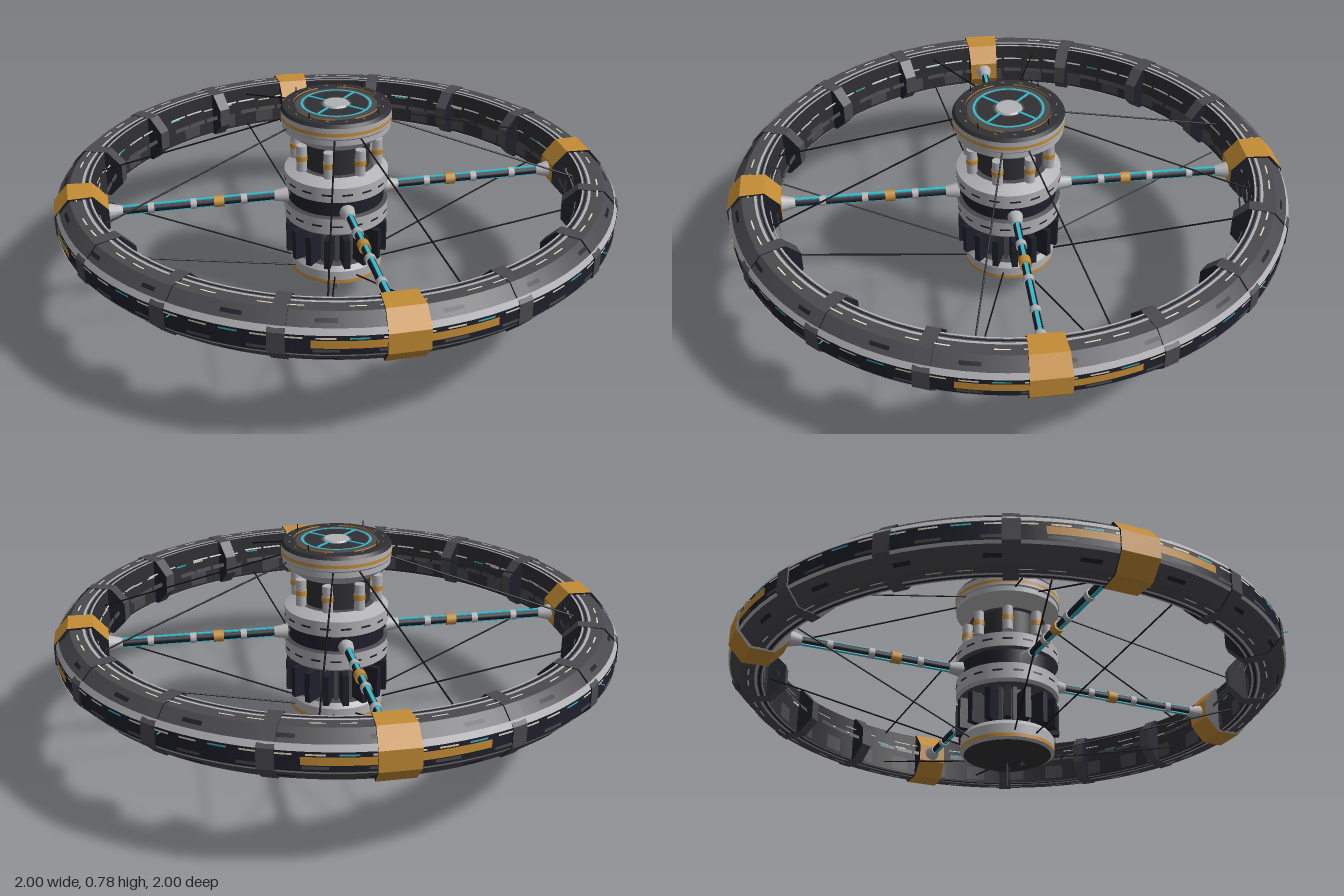
import * as THREE from 'three';

const mat = (name, color) => {
  const m = new THREE.MeshStandardMaterial({ color, side: THREE.DoubleSide });
  m.name = name;
  return m;
};
const HULL = mat('hull grey', 0x4a4a4e), DARK = mat('dark grey', 0x303034), NAVY = mat('navy', 0x1f1f2b),
  LIGHT = mat('light grey', 0xb2b2b6), GOLD = mat('ochre', 0xc48c35), CYAN = mat('cyan', 0x35b8c8),
  WINDOW = mat('window', 0xe6dcc4), CABLE = mat('black', 0x121214);

const TAU = Math.PI * 2, MID = 0.42;

function add(parent, name, geo, material, x = 0, y = 0, z = 0) {
  const m = new THREE.Mesh(geo, material);
  m.name = name;
  m.position.set(x, y, z);
  parent.add(m);
  return m;
}

// Conical band swept about the vertical axis, centred on angle a
function band(parent, name, material, r0, y0, r1, y1, a = 0, len = TAU) {
  const pts = [new THREE.Vector2(r0, y0), new THREE.Vector2(r1, y1)];
  const seg = Math.max(2, Math.round(len / TAU * 96));
  return add(parent, name, new THREE.LatheGeometry(pts, seg, a - len / 2, len), material);
}

// Stack of bands; each row is [radius, y, material of the band above it]
function stack(parent, name, rows) {
  for (let i = 0; i < rows.length - 1; i++) {
    const [r0, y0, m] = rows[i], [r1, y1] = rows[i + 1];
    band(parent, name, m, r0, y0, r1, y1);
  }
}

// Rod between two points
function rod(parent, name, material, a, b, r, sides = 6) {
  const d = b.clone().sub(a);
  const m = add(parent, name, new THREE.CylinderGeometry(r, r, d.length(), sides), material);
  m.position.copy(a).addScaledVector(d, 0.5);
  m.quaternion.setFromUnitVectors(new THREE.Vector3(0, 1, 0), d.normalize());
}

const polar = (r, a, y) => new THREE.Vector3(r * Math.sin(a), y, r * Math.cos(a));

// Eight-sided clamp around the ring, tapering towards the hub, with navy end faces
function clamp(parent, name, material, angle, width, inner, outer, half) {
  const c = 0.05, s = new THREE.Shape();
  [[inner, -0.035], [inner + c, -half], [outer - c, -half], [outer, -0.035],
    [outer, 0.035], [outer - c, half], [inner + c, half], [inner, 0.035]]
    .forEach(([x, y], i) => (i ? s.lineTo(x, y) : s.moveTo(x, y)));
  const geo = new THREE.ExtrudeGeometry(s, { depth: width, bevelEnabled: false });
  geo.translate(0, 0, -width / 2);
  const p = geo.attributes.position;
  for (let i = 0; i < p.count; i++) p.setZ(i, p.getZ(i) * p.getX(i) / outer);
  geo.computeVertexNormals();
  const m = add(parent, name, geo, [NAVY, material], 0, MID, 0);
  m.rotation.y = angle - Math.PI / 2;
}

function buildRing() {
  const g = new THREE.Group();
  g.name = 'habitatRing';
  stack(g, 'ringShell', [[0.872, 0.335, HULL], [0.945, 0.335, HULL], [0.994, 0.388, NAVY],
    [0.994, 0.452, HULL], [0.945, 0.505, HULL], [0.872, 0.505, DARK], [0.872, 0.335]]);
  // Pale trim lines
  band(g, 'upperTrim', LIGHT, 0.996, 0.453, 0.985, 0.472);
  band(g, 'lowerTrim', LIGHT, 0.989, 0.379, 0.996, 0.388);
  for (const y of [0.507, 0.333]) {
    band(g, 'faceTrim', LIGHT, 0.902, y, 0.893, y);
    band(g, 'faceGroove', NAVY, 0.888, y, 0.882, y);
    band(g, 'innerTrim', LIGHT, 0.878, y, 0.872, y);
  }
  // Windows on the faces, rim and inner wall
  const n = 64;
  for (let i = 0; i < n; i++) {
    const a = (i + 0.5) / n * TAU, lit = i % 4 === 2 ? CYAN : WINDOW;
    if (i % 3 !== 1) {
      for (const y of [0.508, 0.332]) band(g, 'faceWindow', WINDOW, 0.926, y, 0.921, y, a, 0.055);
      band(g, 'innerWindow', lit, 0.87, 0.44, 0.87, 0.446, a, 0.055);
    } else {
      band(g, 'slopePanel', NAVY, 0.97, 0.481, 0.961, 0.491, a, 0.07);
      band(g, 'slopePanel', NAVY, 0.961, 0.349, 0.97, 0.359, a, 0.07);
    }
    band(g, 'rimWindow', lit, 0.996, 0.44, 0.996, 0.446, a, 0.06);
    if (i % 2) {
      band(g, 'rimPanel', HULL, 0.996, 0.396, 0.996, 0.406, a, 0.08);
      band(g, 'innerPanel', HULL, 0.87, 0.345, 0.87, 0.4, a, 0.085);
    }
    // Guide rails standing off the inner wall
    if (i % 4 !== 3) band(g, 'innerRail', HULL, 0.83, 0.41, 0.833, 0.425, a, 0.085);
    if (i % 3) band(g, 'innerRail', LIGHT, 0.851, 0.455, 0.854, 0.46, a, 0.085);
  }
  // Clamps: ochre at the spokes, grey in between
  for (let i = 0; i < 16; i++) {
    const a = i / 16 * TAU;
    if (i % 4 === 0) {
      clamp(g, 'spokeClamp', GOLD, a, 0.132, 0.815, 1, 0.092);
      band(g, 'ochreStripe', GOLD, 0.9975, 0.41, 0.9975, 0.437, a, 0.58);
    } else clamp(g, 'ringClamp', HULL, a, 0.055, 0.808, 0.9985, 0.088);
  }
  // Small aerials on the rim
  for (let i = 0; i < 4; i++) {
    const a = (i + 0.5) / 4 * TAU + 0.05;
    rod(g, 'rimAerial', CYAN, polar(0.98, a, 0.44), polar(1.012, a, 0.44), 0.002, 4);
  }
  return g;
}

function buildHub() {
  const g = new THREE.Group();
  g.name = 'hub';
  stack(g, 'hubBody', [[0, 0.085, DARK], [0.085, 0.085, DARK], [0.155, 0.115, LIGHT], [0.168, 0.122, GOLD],
    [0.168, 0.135, LIGHT], [0.168, 0.17, LIGHT], [0.155, 0.188, HULL], [0.115, 0.188, DARK],
    [0.115, 0.325, HULL], [0.175, 0.325, LIGHT], [0.187, 0.335, LIGHT], [0.187, 0.395, HULL],
    [0.172, 0.4, NAVY], [0.172, 0.455, HULL], [0.187, 0.46, LIGHT], [0.187, 0.515, LIGHT],
    [0.14, 0.535, HULL], [0.12, 0.535, DARK], [0.12, 0.64, HULL], [0.14, 0.64, LIGHT],
    [0.192, 0.68, LIGHT], [0.192, 0.7, LIGHT], [0.196, 0.705, LIGHT], [0.196, 0.715, GOLD],
    [0.196, 0.727, LIGHT], [0.196, 0.745, DARK], [0.188, 0.757, DARK], [0.145, 0.757, HULL], [0, 0.757]]);
  // Docking deck markings
  band(g, 'deckRing', CYAN, 0.125, 0.76, 0.116, 0.76);
  band(g, 'deckPlate', DARK, 0.112, 0.759, 0.055, 0.759);
  add(g, 'deckPort', new THREE.CylinderGeometry(0.043, 0.048, 0.006, 32), LIGHT, 0, 0.76, 0);
  for (let i = 0; i < 4; i++) {
    const a = (i + 0.5) / 4 * TAU, p = polar(0.08, a, 0.76);
    add(g, 'deckLine', new THREE.BoxGeometry(0.009, 0.003, 0.07), CYAN, p.x, p.y, p.z).rotation.y = a;
    band(g, 'deckLip', GOLD, 0.152, 0.757, 0.152, 0.762, a, 1.1);
    rod(g, 'deckAerial', CABLE, polar(0.17, a, 0.75), polar(0.17, a, 0.782), 0.002, 4);
  }
  // Hub windows
  for (let i = 0; i < 16; i++) {
    const a = i / 16 * TAU;
    band(g, 'hubWindow', NAVY, 0.189, 0.485, 0.189, 0.492, a, 0.2);
    band(g, 'hubWindow', NAVY, 0.189, 0.362, 0.189, 0.369, a + 0.2, 0.2);
    band(g, 'deckLight', LIGHT, 0.17, 0.759, 0.167, 0.759, a, 0.06);
  }
  // Pods around the neck
  for (let i = 0; i < 8; i++) {
    const p = polar(0.148, (i + 0.5) / 8 * TAU, 0.588);
    add(g, 'pod', new THREE.CylinderGeometry(0.019, 0.019, 0.095, 12), LIGHT, p.x, p.y, p.z);
    add(g, 'podStripe', new THREE.CylinderGeometry(0.021, 0.021, 0.018, 12), GOLD, p.x, p.y, p.z);
  }
  // Radiator fins and ribs on the lower drum
  for (let i = 0; i < 16; i++) {
    const a = i / 16 * TAU, p = polar(0.148, a, 0.248), q = polar(0.122, a + TAU / 32, 0.257);
    add(g, 'radiatorFin', new THREE.BoxGeometry(0.022, 0.115, 0.076), NAVY, p.x, p.y, p.z).rotation.y = a;
    add(g, 'drumRib', new THREE.BoxGeometry(0.014, 0.136, 0.024), HULL, q.x, q.y, q.z).rotation.y = a + TAU / 32;
  }
  // Aerials and dish underneath
  rod(g, 'mast', HULL, new THREE.Vector3(0, 0.09, 0), new THREE.Vector3(0, 0, 0), 0.003);
  rod(g, 'mast', HULL, new THREE.Vector3(0.03, 0.09, 0.02), new THREE.Vector3(0.03, 0.04, 0.02), 0.002);
  rod(g, 'dishMount', HULL, new THREE.Vector3(-0.04, 0.09, 0.04), new THREE.Vector3(-0.04, 0.07, 0.04), 0.003);
  add(g, 'dish', new THREE.ConeGeometry(0.026, 0.016, 16, 1, true), DARK, -0.04, 0.072, 0.04);
  return g;
}

// Spoke along +z
function buildSpoke() {
  const g = new THREE.Group();
  g.name = 'spoke';
  const ring = (name, m, z, len, r0, r1 = r0) => {
    add(g, name, new THREE.CylinderGeometry(r1, r0, len, 12), m, 0, MID, z).rotation.x = Math.PI / 2;
  };
  ring('spokeTube', NAVY, 0.5, 0.66, 0.014);
  for (const s of [-1, 1])
    add(g, 'spokeLight', new THREE.BoxGeometry(0.012, 0.004, 0.56), CYAN, 0, MID + s * 0.0145, 0.49);
  for (const z of [0.34, 0.52, 0.67]) ring('spokeJoint', LIGHT, z, 0.022, 0.019);
  ring('spokeCollar', GOLD, 0.43, 0.036, 0.021);
  ring('hubSocket', LIGHT, 0.205, 0.05, 0.028, 0.019);
  ring('ringSocket', LIGHT, 0.795, 0.055, 0.018, 0.032);
  return g;
}

export function createModel() {
  const model = new THREE.Group();
  model.name = 'spaceStation';
  model.add(buildRing(), buildHub());
  for (let i = 0; i < 4; i++) {
    const a = i / 4 * TAU, spoke = buildSpoke();
    spoke.rotation.y = a;
    model.add(spoke);
    // Stay cables above and below each spoke
    for (const s of [-1, 1]) {
      const b = a + s * 0.245;
      rod(model, 'upperCable', CABLE, polar(0.185, b, 0.7), polar(0.85, b, 0.485), 0.003);
      rod(model, 'lowerCable', CABLE, polar(0.16, b, 0.145), polar(0.85, b, 0.355), 0.003);
    }
  }
  return model;
}
